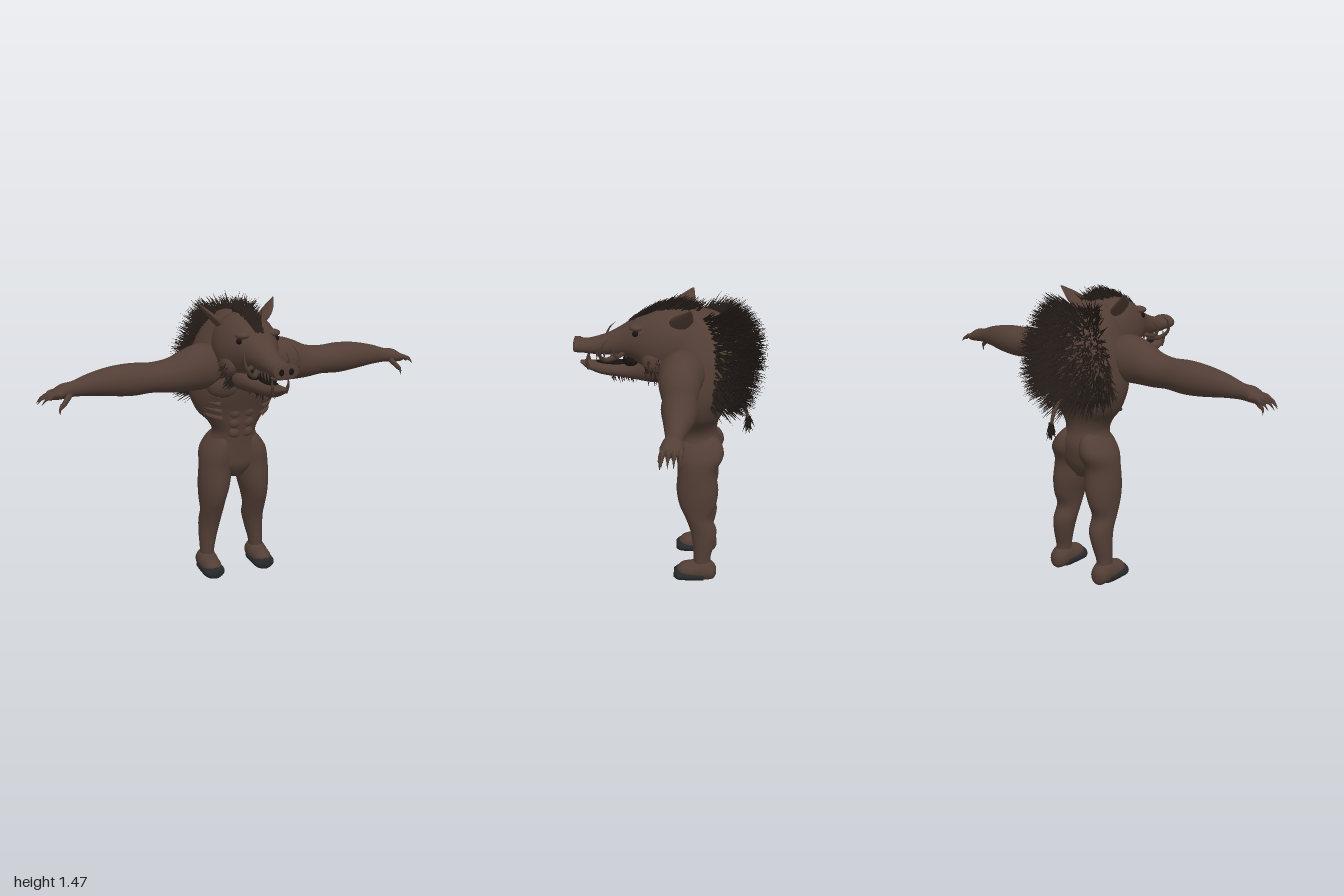
import * as THREE from 'three';
import { mergeGeometries } from 'three/addons/utils/BufferGeometryUtils.js';

const V = (x, y, z) => new THREE.Vector3(x, y, z);

// Smooth body through elliptical rings. Rows: [position on axis, centre, centre, radius, radius].
function sampler(axis, rows) {
  const c = new THREE.CatmullRomCurve3(rows.map(r => V(r[0], r[1], r[2])), false, 'catmullrom');
  const s = new THREE.CatmullRomCurve3(rows.map(r => V(r[3], r[4], 0)), false, 'catmullrom');
  return (t, a, k = 1) => {
    const p = c.getPoint(t), q = s.getPoint(t);
    const rx = Math.max(q.x, 0.001) * k, ry = Math.max(q.y, 0.001) * k;
    if (axis === 'y') return V(p.y + rx * Math.sin(a), p.x, p.z + ry * Math.cos(a));
    if (axis === 'z') return V(p.y + rx * Math.cos(a), p.z + ry * Math.sin(a), p.x);
    return V(p.x, p.y + rx * Math.cos(a), p.z + ry * Math.sin(a));
  };
}

function loft(axis, rows, sides = 28) {
  const at = sampler(axis, rows), n = (rows.length - 1) * 4, pos = [], idx = [];
  for (let i = 0; i <= n; i++)
    for (let j = 0; j < sides; j++) pos.push(...at(i / n, j / sides * Math.PI * 2).toArray());
  const first = pos.length / 3;
  pos.push(...at(0, 0, 0).toArray(), ...at(1, 0, 0).toArray());
  for (let j = 0; j < sides; j++) {
    const k = (j + 1) % sides;
    for (let i = 0; i < n; i++) {
      const a = i * sides + j, b = i * sides + k, c = a + sides, d = b + sides;
      idx.push(a, b, c, b, d, c);
    }
    idx.push(first, k, j, first + 1, n * sides + j, n * sides + k);
  }
  const g = new THREE.BufferGeometry();
  g.setAttribute('position', new THREE.Float32BufferAttribute(pos, 3));
  g.setIndex(idx);
  g.computeVertexNormals();
  return g;
}

// Curved tube that narrows by the given share towards its end
function taper(points, radius, narrowing = 1, segs = 12, sides = 8) {
  const curve = new THREE.CatmullRomCurve3(points.map(p => V(...p)));
  const g = new THREE.TubeGeometry(curve, segs, radius, sides), p = g.attributes.position, v = V(0, 0, 0);
  for (let i = 0; i < p.count; i++) {
    const t = Math.floor(i / (sides + 1)) / segs;
    v.fromBufferAttribute(p, i).lerp(curve.getPointAt(t), t * narrowing);
    p.setXYZ(i, v.x, v.y, v.z);
  }
  return g;
}

const blob = (x, y, z, rx, ry, rz) => new THREE.SphereGeometry(1, 20, 14).scale(rx, ry, rz).translate(x, y, z);

function mirrored(geometry) {
  const g = geometry.clone().scale(-1, 1, 1), ix = g.index.array;
  for (let i = 0; i < ix.length; i += 3) [ix[i], ix[i + 1]] = [ix[i + 1], ix[i]];
  return g;
}

export function createModel() {
  const group = new THREE.Group();
  const paint = (name, color) => Object.assign(new THREE.MeshStandardMaterial({ color }), { name });
  const hide = paint('brown hide', 0x523e35);
  const hair = paint('dark bristle', 0x251d19);
  const hoofDark = paint('hoof grey', 0x27282a);
  const dark = paint('mouth and eye dark', 0x17110f);
  const horn = paint('tusk brown', 0x4b3a31);
  hair.side = THREE.DoubleSide;

  const add = (name, g, m = hide) => {
    const mesh = new THREE.Mesh(g, m);
    mesh.name = name;
    group.add(mesh);
  };
  const pair = (name, g, m = hide) => {
    add('left ' + name, g, m);
    add('right ' + name, mirrored(g), m);
  };

  let seed = 7;
  const rnd = () => (seed = (seed * 16807) % 2147483647) / 2147483647;
  const spread = s => (rnd() * 2 - 1) * s;
  // Many thin bristles; place() returns [root, direction, length, radius]
  const bristles = (name, count, place) => {
    const list = [];
    for (let i = 0; i < count; i++) {
      const [root, dir, len, r] = place(i);
      const g = new THREE.ConeGeometry(r, len, 3, 1, true).translate(0, len * 0.42, 0);
      g.applyQuaternion(new THREE.Quaternion().setFromUnitVectors(V(0, 1, 0), dir.normalize()));
      list.push(g.translate(root.x, root.y, root.z));
    }
    add(name, mergeGeometries(list), hair);
  };

  // Torso with heavy hump
  const torso = [
    [0.54, 0, -0.12, 0.05, 0.06], [0.6, 0, -0.12, 0.13, 0.095], [0.66, 0, -0.125, 0.165, 0.105],
    [0.72, 0, -0.125, 0.138, 0.108], [0.78, 0, -0.112, 0.112, 0.1], [0.84, 0, -0.11, 0.14, 0.108],
    [0.9, 0, -0.12, 0.195, 0.125], [1.0, 0, -0.125, 0.23, 0.165], [1.1, 0, -0.13, 0.225, 0.19],
    [1.2, 0, -0.13, 0.2, 0.2], [1.3, 0, -0.12, 0.15, 0.175], [1.37, 0, -0.1, 0.09, 0.12], [1.4, 0, -0.08, 0.03, 0.04]];
  add('torso', loft('y', torso, 40));
  pair('chest muscle', blob(0.095, 1.055, 0.015, 0.095, 0.07, 0.045).rotateY(0.1));
  for (let i = 0; i < 3; i++) pair('belly muscle', blob(0.034, 0.79 + i * 0.053, -0.022 + i * 0.006, 0.032, 0.027, 0.018));
  for (let i = 0; i < 4; i++) {
    const y = 0.9 + i * 0.04, w = 0.185 + i * 0.013;
    pair('rib', taper([[w * 0.55, y - 0.03, -0.01 + i * 0.008], [w * 0.88, y - 0.01, -0.06], [w * 0.98, y + 0.02, -0.13]], 0.013, 0.5));
  }

  // Legs, feet and hooves
  pair('leg', loft('y', [
    [0.05, 0.142, -0.155, 0.04, 0.045], [0.12, 0.14, -0.148, 0.037, 0.043], [0.2, 0.132, -0.155, 0.047, 0.055],
    [0.28, 0.123, -0.152, 0.056, 0.067], [0.35, 0.12, -0.125, 0.06, 0.065], [0.42, 0.117, -0.122, 0.068, 0.092],
    [0.5, 0.108, -0.12, 0.08, 0.104], [0.6, 0.1, -0.117, 0.084, 0.096], [0.68, 0.09, -0.132, 0.082, 0.115],
    [0.75, 0.072, -0.132, 0.05, 0.095], [0.79, 0.06, -0.12, 0.015, 0.04]]));
  pair('foot', loft('z', [
    [-0.222, 0.143, 0.05, 0.012, 0.02], [-0.205, 0.143, 0.05, 0.04, 0.045], [-0.16, 0.143, 0.06, 0.052, 0.06],
    [-0.1, 0.143, 0.052, 0.052, 0.051], [-0.05, 0.143, 0.05, 0.046, 0.042], [-0.02, 0.143, 0.045, 0.025, 0.022]]));
  pair('hoof', loft('z', [
    [-0.155, 0.143, 0.034, 0.05, 0.032], [-0.15, 0.143, 0.034, 0.056, 0.034], [-0.06, 0.143, 0.034, 0.059, 0.034],
    [-0.025, 0.143, 0.033, 0.052, 0.032], [-0.005, 0.143, 0.031, 0.03, 0.022]]), hoofDark);

  // Arms and clawed hands
  pair('arm', loft('x', [
    [0.08, 1.13, -0.06, 0.09, 0.09], [0.19, 1.142, -0.045, 0.112, 0.108], [0.28, 1.132, -0.037, 0.102, 0.098],
    [0.36, 1.115, -0.04, 0.083, 0.087], [0.45, 1.112, -0.045, 0.072, 0.077], [0.55, 1.112, -0.048, 0.077, 0.08],
    [0.65, 1.113, -0.05, 0.069, 0.069], [0.75, 1.11, -0.045, 0.052, 0.051], [0.83, 1.1, -0.04, 0.036, 0.037],
    [0.88, 1.095, -0.035, 0.034, 0.045], [0.92, 1.083, -0.035, 0.022, 0.042], [0.935, 1.08, -0.035, 0.008, 0.025]]));
  for (let i = 0; i < 4; i++) {
    const z = -0.07 + i * 0.024, tip = i % 3 ? 0 : -0.015;
    pair('finger', taper([[0.89, 1.09, z], [0.93, 1.088, z], [0.962 + tip, 1.073, z]], 0.013, 0.3));
    pair('claw', taper([[0.945 + tip, 1.082, z], [0.975 + tip, 1.074, z], [1.0 + tip, 1.048, z]], 0.011), horn);
  }
  pair('thumb', taper([[0.85, 1.085, -0.01], [0.88, 1.05, 0.008], [0.9, 1.03, 0.012]], 0.016, 0.35));
  pair('thumb claw', taper([[0.89, 1.043, 0.01], [0.905, 1.02, 0.013], [0.905, 0.995, 0.015]], 0.012), horn);

  // Head, snout and lower jaw
  const head = [
    [-0.12, 0, 1.24, 0.13, 0.14], [0, 0, 1.24, 0.155, 0.165], [0.08, 0, 1.235, 0.148, 0.163], [0.15, 0, 1.242, 0.122, 0.13],
    [0.2, 0, 1.247, 0.097, 0.097], [0.25, 0, 1.236, 0.074, 0.074], [0.32, 0, 1.219, 0.055, 0.053],
    [0.4, 0, 1.207, 0.048, 0.039], [0.44, 0, 1.208, 0.052, 0.034], [0.46, 0, 1.212, 0.063, 0.036], [0.48, 0, 1.213, 0.06, 0.034]];
  add('head', loft('z', head, 32));
  add('lower jaw', loft('z', [
    [-0.02, 0, 1.14, 0.12, 0.1], [0.1, 0, 1.115, 0.112, 0.08], [0.18, 0, 1.097, 0.075, 0.053], [0.25, 0, 1.09, 0.055, 0.037],
    [0.35, 0, 1.097, 0.045, 0.032], [0.42, 0, 1.113, 0.035, 0.02], [0.455, 0, 1.125, 0.013, 0.006]]));
  add('mouth lining', blob(0, 1.14, 0.2, 0.06, 0.035, 0.05), dark);
  add('tongue', blob(0, 1.126, 0.29, 0.028, 0.012, 0.1), dark);
  pair('nostril', blob(0.024, 1.213, 0.479, 0.013, 0.016, 0.004), dark);
  pair('brow', blob(0.075, 1.325, 0.175, 0.038, 0.018, 0.035));
  pair('eye', blob(0.094, 1.298, 0.178, 0.014, 0.014, 0.016), dark);
  pair('cheek', blob(0.11, 1.17, 0.08, 0.04, 0.06, 0.07));
  pair('ear', loft('y', [[-0.02, 0, 0, 0.02, 0.028], [0.04, 0, -0.01, 0.016, 0.055], [0.09, 0, -0.025, 0.01, 0.042],
    [0.14, 0, -0.055, 0.002, 0.006]], 16).rotateZ(-0.75).translate(0.105, 1.34, -0.025));

  // Tusks and teeth
  pair('great tusk', taper([[0.045, 1.17, 0.27], [0.09, 1.165, 0.325], [0.125, 1.2, 0.345], [0.135, 1.25, 0.33], [0.115, 1.295, 0.29]], 0.016), horn);
  pair('small tusk', taper([[0.05, 1.19, 0.24], [0.1, 1.185, 0.27], [0.112, 1.22, 0.28], [0.1, 1.26, 0.25]], 0.013), horn);
  pair('lower fang', taper([[0.03, 1.1, 0.41], [0.04, 1.14, 0.42], [0.037, 1.19, 0.41]], 0.011), horn);
  for (let i = 0; i < 5; i++)
    pair('tooth', taper([[0.036, 1.19, 0.23 + i * 0.035], [0.036, 1.165, 0.23 + i * 0.035], [0.034, 1.145, 0.235 + i * 0.035]], 0.009, 1, 5, 6), horn);

  // Back mane: roots follow the hump
  const back = sampler('y', torso), top = sampler('z', head);
  bristles('back mane', 2300, () => {
    const w = spread(1.25), t = 0.52 + 0.04 * Math.abs(w) + rnd() * (0.4 - 0.04 * Math.abs(w));
    const root = back(t, Math.PI + w, 0.98);
    const dir = V(Math.sin(-w) * 0.8 + spread(0.25), (root.y - 1.16) * 2.4 + spread(0.35), -Math.cos(w) * 0.8 - 0.25);
    return [root, dir, 0.055 + 0.035 * Math.cos(w) + rnd() * 0.065, 0.0055];
  });
  // Crest from brow to hump
  bristles('head crest', 380, () => {
    const t = 0.02 + rnd() * 0.4, root = top(t, Math.PI / 2 + spread(0.24), 0.99);
    return [root, V(spread(0.35), 0.65 - t * 0.5, -0.75 + spread(0.2)), 0.06 + rnd() * 0.045, 0.0055];
  });
  // Whiskers on cheeks and chin
  bristles('cheek whiskers', 110, i => {
    const s = i % 2 ? 1 : -1, y = 1.07 + rnd() * 0.13;
    return [V(s * (0.1 + (y - 1.07) * 0.25), y, 0.02 + rnd() * 0.11), V(s * 0.8, -0.6 + spread(0.3), 0.1 + spread(0.4)), 0.035 + rnd() * 0.03, 0.005];
  });
  bristles('chin whiskers', 40, () => [V(spread(0.05), 1.062, 0.14 + rnd() * 0.18), V(spread(0.4), -1, -0.3), 0.02 + rnd() * 0.02, 0.004]);

  // Tail with tuft
  add('tail', taper([[0, 0.93, -0.22], [0, 0.945, -0.3], [0, 0.9, -0.345], [0, 0.83, -0.365]], 0.014, 0.5));
  bristles('tail tuft', 60, () => [V(spread(0.012), 0.835 + spread(0.02), -0.365 + spread(0.01)), V(spread(0.5), -1, spread(0.6)), 0.04 + rnd() * 0.025, 0.005]);

  return group;
}
